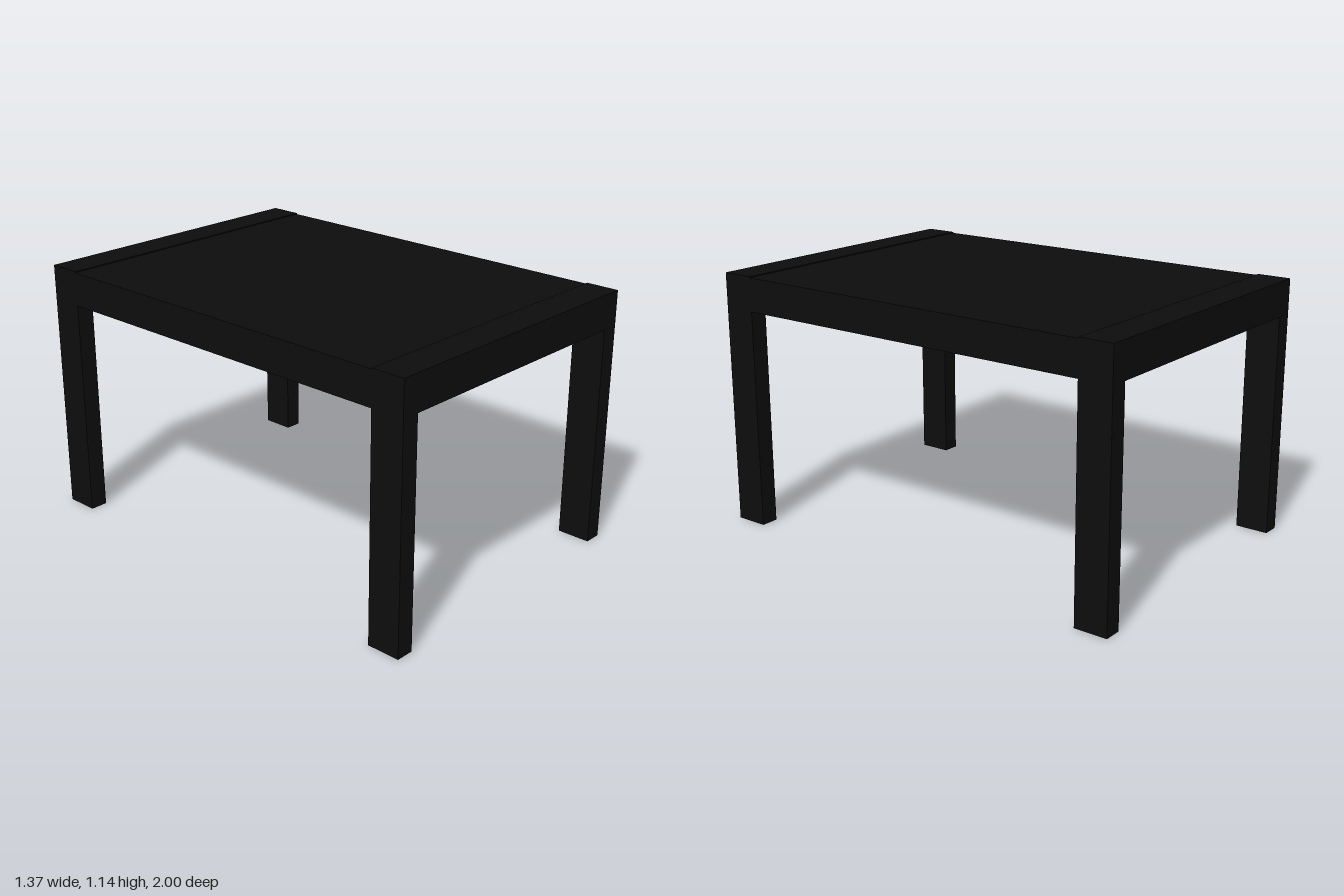
import * as THREE from 'three';

const HALF_X = 0.685, HALF_Z = 1, HEIGHT = 1.14;
const LEG_X = 0.08, LEG_Z = 0.15;
const UNDERSIDE = 0.985;
const STEP = 0.005; // the centre slab sits just below the end beams

export function createModel() {
  const table = new THREE.Group();
  table.name = 'table';
  const material = new THREE.MeshStandardMaterial({ color: 0x0d0d0d });

  // Box given by its width, bottom, top, depth and horizontal centre
  const addBox = (name, width, bottom, top, depth, x, z) => {
    const mesh = new THREE.Mesh(new THREE.BoxGeometry(width, top - bottom, depth), material);
    mesh.name = name;
    mesh.position.set(x, (bottom + top) / 2, z);
    table.add(mesh);
  };

  // Thick centre slab
  addBox('tableTop', 2 * HALF_X, UNDERSIDE, HEIGHT - STEP, 2 * (HALF_Z - LEG_Z), 0, 0);

  for (const [end, sz] of [['front', 1], ['back', -1]]) {
    const z = sz * (HALF_Z - LEG_Z / 2);
    // Beam across the end, between the legs
    addBox(end + 'Beam', 2 * (HALF_X - LEG_X), UNDERSIDE, HEIGHT, LEG_Z, 0, z);
    // Full-height corner legs
    for (const [side, sx] of [['Left', 1], ['Right', -1]]) {
      addBox(end + side + 'Leg', LEG_X, 0, HEIGHT, LEG_Z, sx * (HALF_X - LEG_X / 2), z);
    }
  }
  return table;
}
